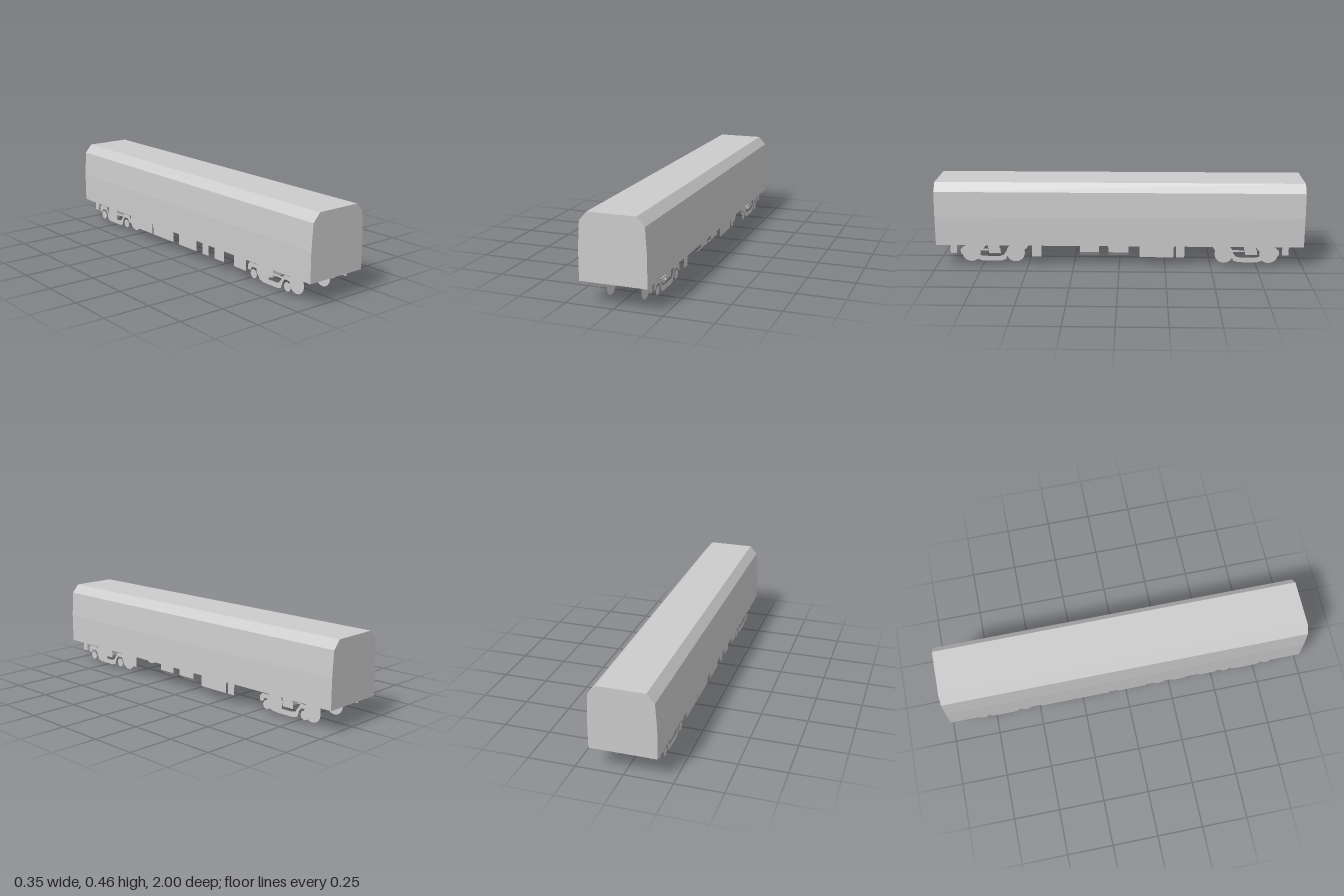
import * as THREE from 'three';

const material = new THREE.MeshStandardMaterial({ color: 0xcccccc, flatShading: true, side: THREE.DoubleSide });

function addMesh(parent, name, geometry) {
  const mesh = new THREE.Mesh(geometry, material);
  mesh.name = name;
  parent.add(mesh);
  return mesh;
}

const toShape = (points) => new THREE.Shape(points.map(([a, b]) => new THREE.Vector2(a, b)));

// Thin upright sheet in the z-y plane, outlined by [z, y] points
function sheet(parent, name, x, points) {
  const mesh = addMesh(parent, name, new THREE.ShapeGeometry(toShape(points)).rotateY(-Math.PI / 2));
  mesh.position.x = x;
  return mesh;
}

const rect = (z0, z1, y0, y1) => [[z0, y0], [z1, y0], [z1, y1], [z0, y1]];

function disc(parent, name, radius, sides, x, y, z) {
  addMesh(parent, name, new THREE.CircleGeometry(radius, sides).rotateY(Math.PI / 2)).position.set(x, y, z);
}

function createBogie() {
  const bogie = new THREE.Group();
  bogie.name = 'bogie';
  const wheelZ = 0.123, wheelY = 0.052, frameX = 0.153;

  // Frame outline: arches over both wheels, dropped beam between them
  const half = [
    [0.05, 0.026], [0.078, 0.034], [0.092, 0.072], [0.106, 0.086],
    [0.138, 0.084], [0.15, 0.064], [0.17, 0.066], [0.17, 0.09],
    [0.153, 0.108], [0.1, 0.108], [0.082, 0.082], [0.066, 0.06], [0.045, 0.053],
  ];
  const outline = [...half, ...half.map(([z, y]) => [-z, y]).reverse()];

  for (const s of [1, -1]) {
    sheet(bogie, 'sideFrame', s * frameX, outline);
    sheet(bogie, 'tieBar', s * frameX, rect(0.01, 0.1, 0.084, 0.095));
    sheet(bogie, 'springSeat', s * frameX, rect(-0.05, 0.015, 0.068, 0.098));
    sheet(bogie, 'spring', s * frameX, rect(-0.045, 0.02, 0.098, 0.122));
    for (const e of [1, -1]) {
      disc(bogie, 'wheel', 0.052, 16, s * 0.09, wheelY, e * wheelZ);
      disc(bogie, 'axleBox', 0.025, 8, s * frameX, wheelY, e * wheelZ);
    }
  }

  // Cross beam joining the two side frames
  addMesh(bogie, 'bolster', new THREE.PlaneGeometry(2 * frameX, 0.034)).position.y = 0.08;
  return bogie;
}

export function createModel() {
  const model = new THREE.Group();
  model.name = 'railCarriage';

  // Body shell with sloped upper walls and chamfered roof
  const side = [[0.174, 0.12], [0.174, 0.28], [0.165, 0.417], [0.125, 0.463]];
  const profile = toShape([...side, ...side.map(([x, y]) => [-x, y]).reverse()]);
  addMesh(model, 'body', new THREE.ExtrudeGeometry(profile, { depth: 2, bevelEnabled: false }).translate(0, 0, -1));

  // Bogies near both ends
  for (const z of [0.7, -0.7]) {
    const bogie = createBogie();
    bogie.position.z = z;
    model.add(bogie);
  }

  // Equipment panels hanging below the floor, per side
  const panelX = 0.158, low = 0.053, top = 0.122;
  const panels = {
    1: [[0.425, 0.478], [-0.297, -0.11], [-0.355, -0.31]],
    '-1': [[0.425, 0.52], [0.265, 0.345], [0.165, 0.215], [-0.05, 0.11], [-0.295, -0.1], [-0.49, -0.302]],
  };
  for (const s of [1, -1]) {
    for (const [a, b] of panels[s]) sheet(model, 'equipmentPanel', s * panelX, rect(a, b, low, top));
    // Step plates at the carriage ends
    for (const [a, b] of [[0.89, 0.925], [-0.922, -0.887]]) sheet(model, 'stepPlate', s * 0.153, rect(a, b, 0.068, top));
  }

  // Two boxes on one side whose lower edge slopes inward
  for (const [a, b] of [[0.11, 0.215], [-0.05, 0.06]]) {
    sheet(model, 'tankPanel', panelX, rect(a, b, 0.08, top));
    const slope = new THREE.PlaneGeometry(0.043, b - a).rotateX(-Math.PI / 2);
    const mesh = addMesh(model, 'tankSlope', slope);
    mesh.rotation.z = Math.atan2(0.027, 0.033);
    mesh.position.set(panelX - 0.0165, 0.0665, (a + b) / 2);
  }

  return model;
}
